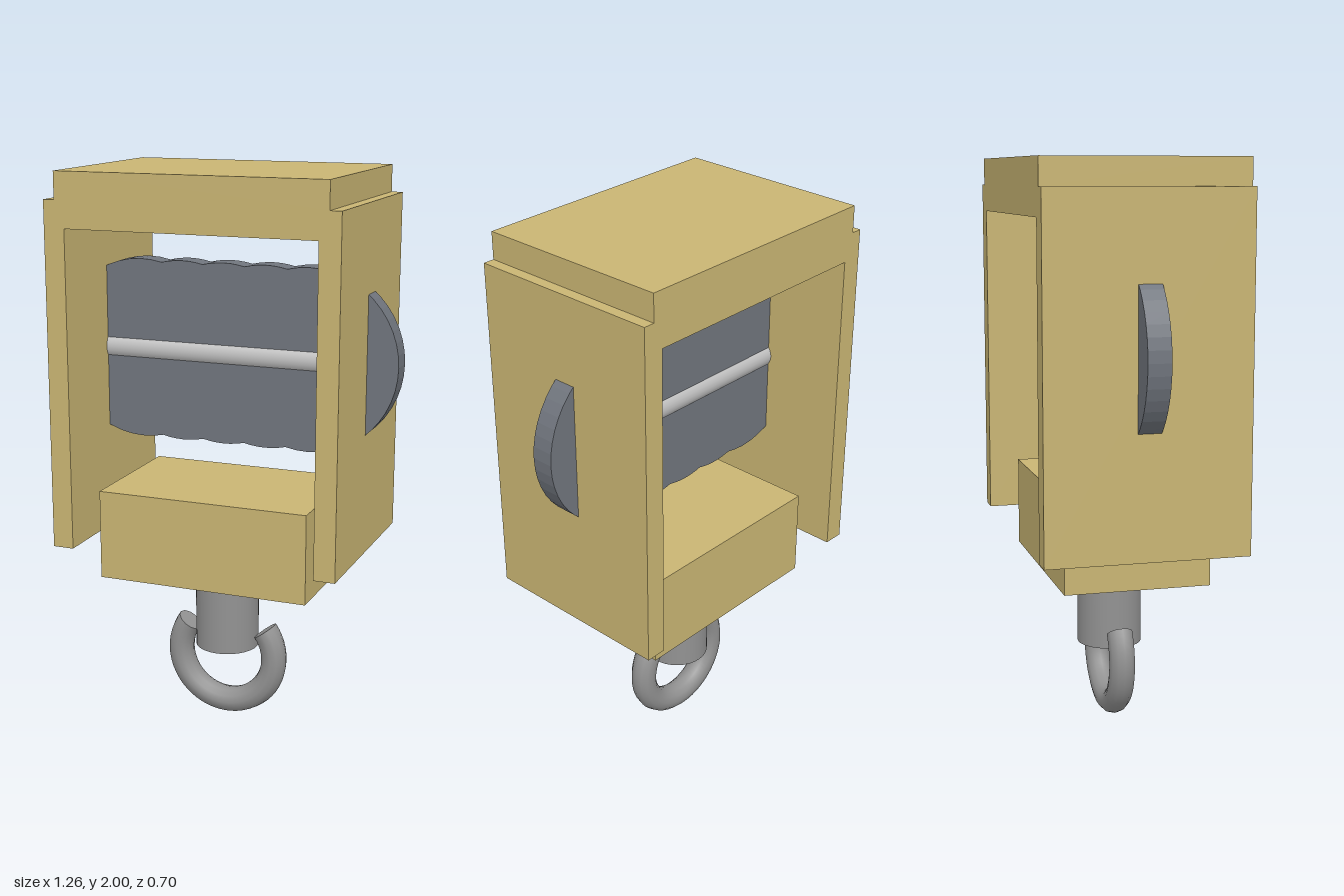
import * as THREE from 'three';

const mat = (name, color) => {
  const m = new THREE.MeshStandardMaterial({ color });
  m.name = name;
  return m;
};

export function createModel() {
  const group = new THREE.Group();
  const tan = mat('tan paint', 0xc9b573);
  const slate = mat('slate grey', 0x70757d);
  const steel = mat('steel grey', 0x929292);
  const bright = mat('bright steel', 0xc4c4c4);

  const add = (name, geometry, material, y = 0) => {
    const mesh = new THREE.Mesh(geometry, material);
    mesh.name = name;
    mesh.position.y = y;
    group.add(mesh);
    return mesh;
  };
  // extrude a front outline, centred in z
  const slab = (points, depth) =>
    new THREE.ExtrudeGeometry(new THREE.Shape(points), { depth, bevelEnabled: false })
      .translate(0, 0, -depth / 2);

  // housing: stepped top and two hanging side plates in one outline
  const half = [[0.48, 2], [0.48, 1.905], [0.52, 1.905], [0.52, 0.69], [0.445, 0.69], [0.445, 1.81]];
  const outline = [...half, ...half.map(([x, y]) => [-x, y]).reverse()]
    .map(([x, y]) => new THREE.Vector2(x, y)).reverse();
  add('housing', slab(outline, 0.705), tan);

  // sheave row: merged silhouette of five overlapping discs
  const R = 0.32, step = 0.155, count = 5;
  const cut = Math.acos(step / 2 / R);
  const sheave = [];
  const arc = (cx, a0, a1, n) => {
    for (let i = 0; i < n; i++) {
      const a = a0 + (a1 - a0) * i / n;
      sheave.push(new THREE.Vector2(cx + R * Math.cos(a), R * Math.sin(a)));
    }
  };
  const end = step * (count - 1) / 2;
  arc(end, -Math.PI + cut, Math.PI - cut, 28);
  for (let i = 1; i < count - 1; i++) arc(end - i * step, cut, Math.PI - cut, 6);
  arc(-end, cut, 2 * Math.PI - cut, 28);
  for (let i = 1; i < count - 1; i++) arc(-end + i * step, Math.PI + cut, 2 * Math.PI - cut, 6);
  add('sheaves', slab(sheave, 0.08), slate, 1.36);

  // axle through the sheaves, ending inside the side plates
  add('axle', new THREE.CylinderGeometry(0.052, 0.052, 0.96, 24).rotateZ(Math.PI / 2), bright, 1.36);

  // lower block and swivel shank
  add('lowerBlock', new THREE.BoxGeometry(0.77, 0.32, 0.51), tan, 0.72);
  add('shank', new THREE.CylinderGeometry(0.115, 0.115, 0.29, 32), steel, 0.415);

  // open hook ring with its gap at the top
  const tube = 0.047, ring = 0.183, gap = 0.2 * Math.PI;
  const hook = add('hook', new THREE.TorusGeometry(ring, tube, 12, 40, 1.4 * Math.PI), steel, 0.23);
  hook.rotation.z = Math.PI - gap;
  for (const [a, turn] of [[0, Math.PI / 2], [1.4 * Math.PI, -Math.PI / 2]]) {
    const cap = new THREE.Mesh(new THREE.CircleGeometry(tube, 12), steel);
    cap.name = 'hookEnd';
    cap.geometry.rotateX(turn).rotateZ(a);
    cap.position.set(ring * Math.cos(a), ring * Math.sin(a), 0);
    hook.add(cap);
  }
  return group;
}
